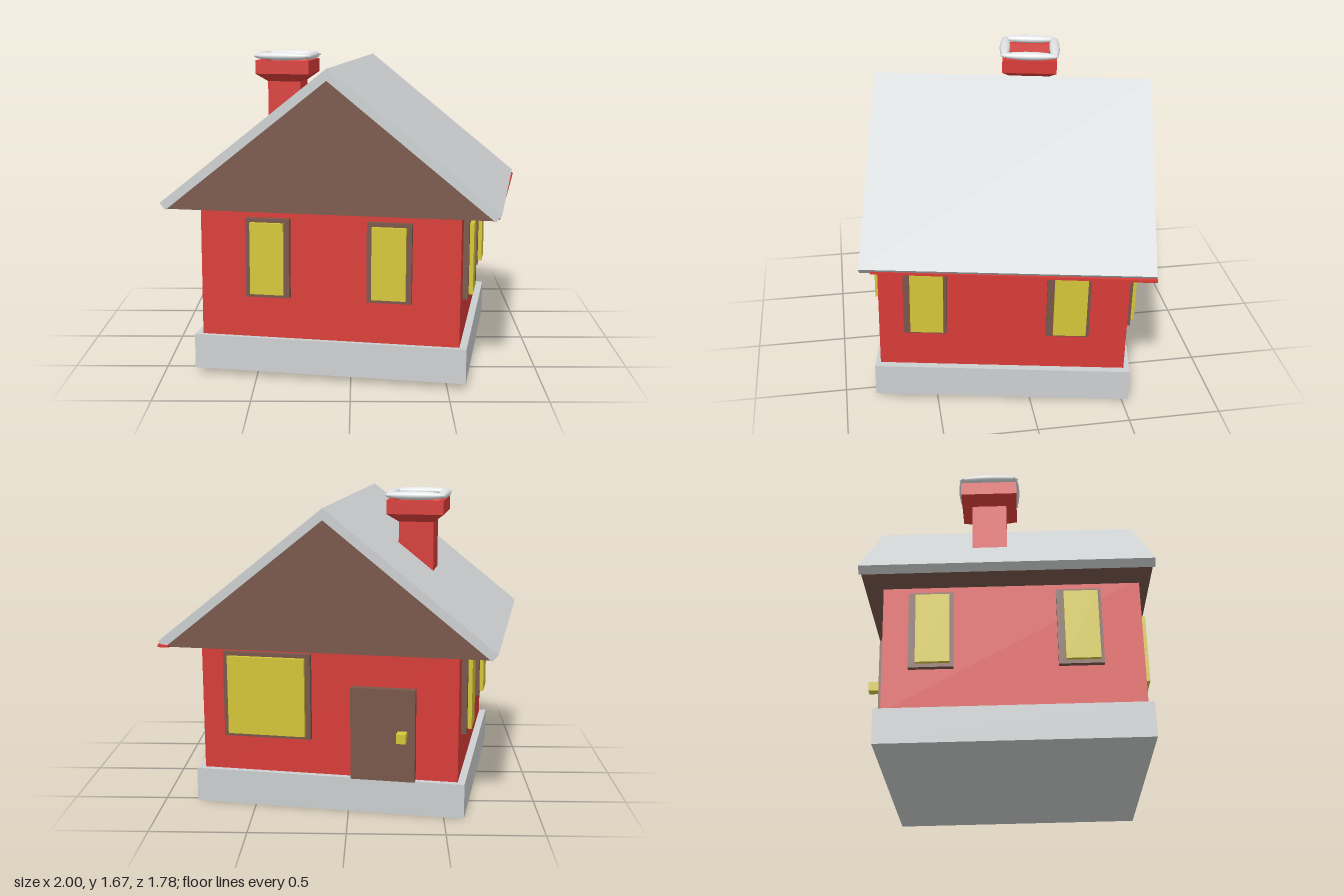
import * as THREE from 'three';

const material = (name, color) => {
  const m = new THREE.MeshStandardMaterial({ color, flatShading: name !== 'snow' });
  m.name = name;
  return m;
};

export function createModel() {
  const red = material('red', 0xd83c37);
  const brown = material('brown', 0x79564a);
  const yellow = material('yellow', 0xd4c638);
  const grey = material('light grey', 0xcccfd0);
  const snow = material('snow', 0xe0e2e3);

  const house = new THREE.Group();
  house.name = 'house';

  const add = (name, geometry, mat, x, y, z, parent = house) => {
    const mesh = new THREE.Mesh(geometry, mat);
    mesh.name = name;
    mesh.position.set(x, y, z);
    parent.add(mesh);
    return mesh;
  };
  const box = (name, mat, w, h, d, x, y, z, parent) =>
    add(name, new THREE.BoxGeometry(w, h, d), mat, x, y, z, parent);
  // Extrude a profile along z, centred on the given z
  const prism = (name, mat, points, length, z) => {
    const shape = new THREE.Shape(points.map(([x, y]) => new THREE.Vector2(x, y)));
    const geometry = new THREE.ExtrudeGeometry(shape, { depth: length, bevelEnabled: false });
    return add(name, geometry, mat, 0, 0, z - length / 2);
  };

  // Foundation and walls
  box('foundation', grey, 1.448, 0.185, 1.39, 0, 0.0925, 0.032);
  box('walls', red, 1.37, 0.71, 1.33, 0, 0.535, 0.035);

  // Gable body and chevron roof
  prism('gable', brown, [[-0.85, 0.868], [0.85, 0.868], [0, 1.552]], 1.48, 0.015);
  prism('roof', grey, [
    [-0.887, 0.9], [-0.857, 0.864], [0, 1.55], [0.857, 0.864], [0.887, 0.9], [0, 1.61],
  ], 1.504, 0.015);
  const strip = box('eaveStrip', red, 0.06, 0.014, 1.45, 0.853, 0.874, -0.015);
  strip.rotation.y = -0.012;

  // Windows: a frame with a raised pane, facing outward along local +z
  const addWindow = (name, w, h, x, y, z, turn, paneShift = 0) => {
    const g = new THREE.Group();
    g.name = name;
    g.position.set(x, y, z);
    g.rotation.y = turn;
    box('windowFrame', brown, w, h, 0.06, 0, 0, 0, g);
    box('windowPane', yellow, w - 0.055, h - 0.04, 0.06, paneShift, 0, 0.022, g);
    house.add(g);
  };
  for (const x of [-0.32, 0.32]) addWindow('frontWindow', 0.233, 0.42, x, 0.62, 0.702, 0);
  for (const z of [0.45, -0.31]) {
    addWindow('leftWindow', 0.23, 0.42, 0.685, 0.615, z, Math.PI / 2, 0.01);
    addWindow('rightWindow', 0.23, 0.42, -0.685, 0.615, 0.07 - z, -Math.PI / 2, 0.01);
  }
  addWindow('backWindow', 0.47, 0.46, 0.325, 0.61, -0.632, Math.PI);

  // Back door with a square knob
  box('door', brown, 0.34, 0.495, 0.08, -0.295, 0.4305, -0.632);
  box('doorKnob', yellow, 0.05, 0.05, 0.06, -0.4, 0.433, -0.7);

  // Square chimney: stack, flared cap and sunken flue
  const chimney = new THREE.Group();
  chimney.name = 'chimney';
  chimney.position.set(-0.393, 0, -0.078);
  house.add(chimney);
  const profile = [
    [0.095, 1.1], [0.095, 1.485], [0.154, 1.53], [0.154, 1.605],
    [0.125, 1.605], [0.105, 1.51], [0, 1.51],
  ].map(([r, y]) => new THREE.Vector2(r * Math.SQRT2, y));
  const stack = new THREE.LatheGeometry(profile, 4);
  stack.rotateY(Math.PI / 4);
  add('chimneyStack', stack, red, 0, 0, 0, chimney);

  // Snow along each edge of the cap
  for (let i = 0; i < 4; i++) {
    const a = (i * Math.PI) / 2;
    const drift = add('snowDrift', new THREE.SphereGeometry(1, 24, 16), snow,
      Math.sin(a) * 0.142, 1.63, Math.cos(a) * 0.142, chimney);
    drift.scale.set(0.165, 0.023, 0.03);
    drift.rotation.y = a;
  }

  // The house stands turned and leans back slightly
  house.rotation.order = 'YXZ';
  house.rotation.set(-0.021, -0.166, 0);
  house.position.y = 0.015;

  const model = new THREE.Group();
  model.name = 'model';
  model.add(house);
  return model;
}
